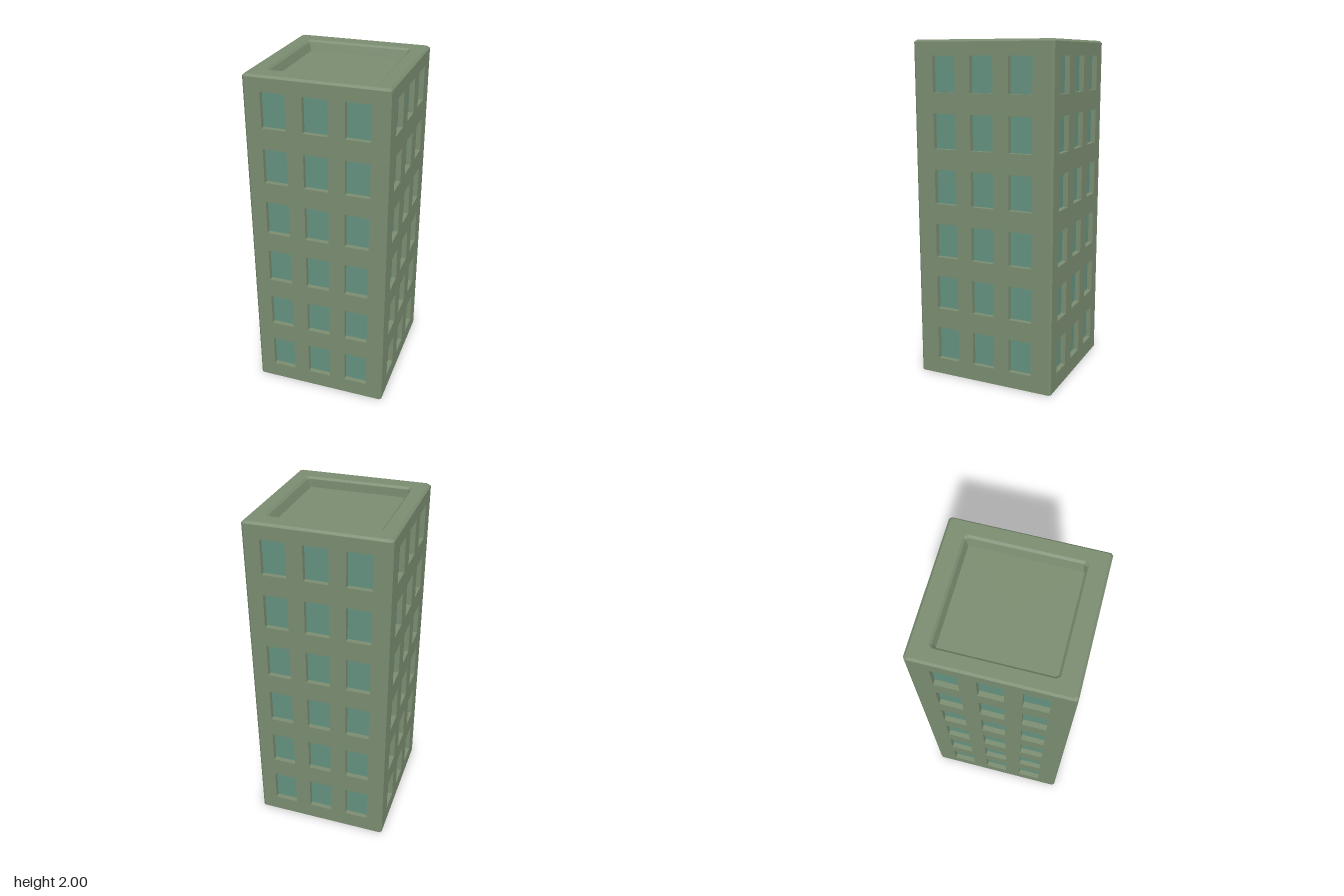
import * as THREE from 'three';
import { mergeGeometries } from 'three/addons/utils/BufferGeometryUtils.js';

const HX = 0.404, HZ = 0.428, TOP = 2, BEVEL = 0.012;
const WIN_W = 0.14, WIN_H = 0.203, WIN_DEPTH = 0.03;
const COLUMNS = [-0.235, 0, 0.235];
const ROWS = Array.from({ length: 6 }, (_, i) => 0.2 + i * 0.322);

const concrete = new THREE.MeshStandardMaterial({ color: 0x7a8c70, flatShading: true, side: THREE.DoubleSide });
const glass = new THREE.MeshStandardMaterial({ color: 0x64917f, flatShading: true, side: THREE.DoubleSide });

function mesh(name, geometry, material) {
  const m = new THREE.Mesh(geometry, material);
  m.name = name;
  return m;
}

// Joins a series of closed rings of [x, y, z] points with quads
function loft(rings) {
  const pos = [];
  for (let r = 0; r < rings.length - 1; r++) {
    const a = rings[r], b = rings[r + 1], n = a.length;
    for (let i = 0; i < n; i++) {
      const j = (i + 1) % n;
      if (b[i].some((v, k) => v !== b[j][k])) pos.push(...a[i], ...b[i], ...b[j]);
      pos.push(...a[i], ...b[j], ...a[j]);
    }
  }
  const g = new THREE.BufferGeometry();
  g.setAttribute('position', new THREE.Float32BufferAttribute(pos, 3));
  g.computeVertexNormals();
  return g;
}

// Rectangle with cut corners, lying level at height y
function ring(x0, x1, z0, z1, y, cut) {
  return [
    [x1, y, z0 + cut], [x1, y, z1 - cut], [x1 - cut, y, z1], [x0 + cut, y, z1],
    [x0, y, z1 - cut], [x0, y, z0 + cut], [x0 + cut, y, z0], [x1 - cut, y, z0],
  ];
}

// One facade: flat wall with window openings, reveals and glass, facing +z
function facade(name, halfWidth, distance, angle) {
  const side = new THREE.Group();
  side.name = name;
  const w = halfWidth - BEVEL, h = TOP - BEVEL;
  const shape = new THREE.Shape([[-w, 0], [w, 0], [w, h], [-w, h]].map(p => new THREE.Vector2(...p)));
  const reveals = [], panes = [];
  for (const x of COLUMNS) {
    for (const y of ROWS) {
      const l = x - WIN_W / 2, r = x + WIN_W / 2, b = y - WIN_H / 2, t = y + WIN_H / 2;
      const corners = [[r, b], [l, b], [l, t], [r, t]];
      shape.holes.push(new THREE.Path(corners.map(p => new THREE.Vector2(...p))));
      reveals.push(loft([0, -WIN_DEPTH].map(z => corners.map(p => [...p, z]))));
      panes.push(new THREE.PlaneGeometry(WIN_W, WIN_H).translate(x, y, -WIN_DEPTH));
    }
  }
  side.add(
    mesh('wall', new THREE.ShapeGeometry(shape), concrete),
    mesh('windowReveals', mergeGeometries(reveals), concrete),
    mesh('windowPanes', mergeGeometries(panes), glass),
  );
  side.rotation.y = angle;
  side.position.set(Math.sin(angle) * distance, 0, Math.cos(angle) * distance);
  return side;
}

export function createModel() {
  const tower = new THREE.Group();
  tower.name = 'towerBlock';

  // Four facades; the underside stays open
  tower.add(
    facade('frontFacade', HX, HZ, 0),
    facade('leftFacade', HZ, HX, Math.PI / 2),
    facade('backFacade', HX, HZ, Math.PI),
    facade('rightFacade', HZ, HX, -Math.PI / 2),
  );

  // Chamfered vertical corners
  for (const sx of [-1, 1]) {
    for (const sz of [-1, 1]) {
      const strip = new THREE.PlaneGeometry(BEVEL * Math.SQRT2, TOP - BEVEL);
      const corner = mesh('cornerChamfer', strip, concrete);
      corner.position.set(sx * (HX - BEVEL / 2), (TOP - BEVEL) / 2, sz * (HZ - BEVEL / 2));
      corner.rotation.y = Math.atan2(sx, sz);
      tower.add(corner);
    }
  }

  // Parapet with bevelled edges around the sunken roof
  const ox = HX - BEVEL, oz = HZ - BEVEL;
  const floorRing = ring(-0.294, 0.292, -0.3, 0.309, 1.94, 0.004);
  tower.add(mesh('parapet', loft([
    ring(-HX, HX, -HZ, HZ, TOP - BEVEL, BEVEL),
    ring(-ox, ox, -oz, oz, TOP, BEVEL),
    ring(-0.32, 0.32, -0.325, 0.322, TOP, 0.018),
    ring(-0.308, 0.308, -0.314, 0.31, TOP - BEVEL, 0.012),
    floorRing,
  ]), concrete));
  tower.add(mesh('roofFloor', loft([floorRing, floorRing.map(() => [0, 1.94, 0])]), concrete));

  return tower;
}
